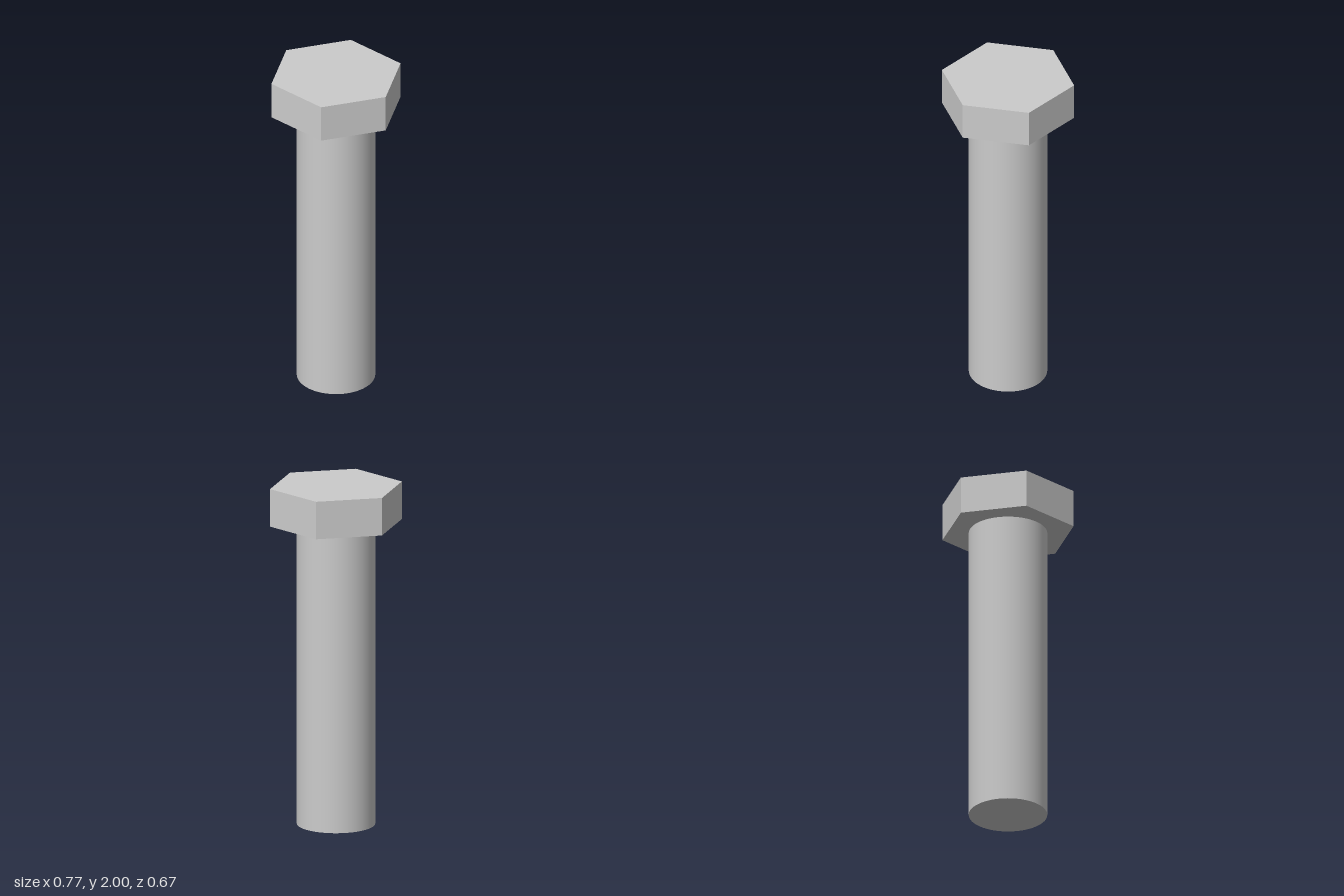
import * as THREE from 'three';

const HEAD_BOTTOM = 1.778;
const TOP = 2;

export function createModel() {
  const group = new THREE.Group();
  group.name = 'hexBolt';
  const color = 0xcccccc;

  // Hexagonal head, corners pointing along x
  const headHeight = TOP - HEAD_BOTTOM;
  const head = new THREE.Mesh(
    new THREE.CylinderGeometry(0.387, 0.387, headHeight, 6, 1, false, Math.PI / 2),
    new THREE.MeshStandardMaterial({ color, flatShading: true })
  );
  head.name = 'head';
  head.position.y = HEAD_BOTTOM + headHeight / 2;

  // Smooth round shank from the ground up to the head
  const shank = new THREE.Mesh(
    new THREE.CylinderGeometry(0.225, 0.225, HEAD_BOTTOM, 64),
    new THREE.MeshStandardMaterial({ color })
  );
  shank.name = 'shank';
  shank.position.y = HEAD_BOTTOM / 2;

  group.add(head, shank);
  return group;
}
